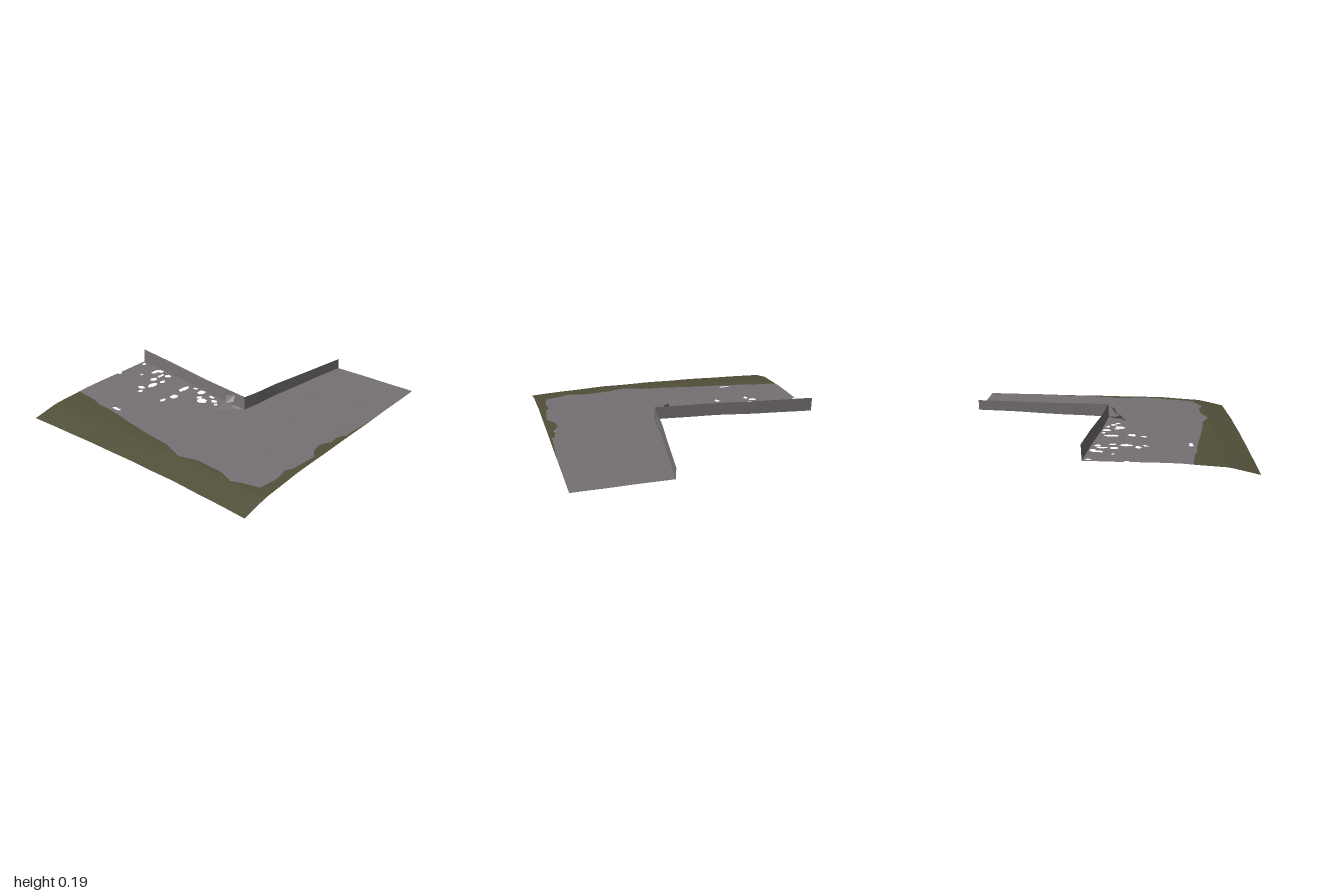
import * as THREE from 'three';

const { lerp, clamp } = THREE.MathUtils;

// Piecewise linear curve through [t, value] pairs
const curve = (pts) => (t) => {
  if (t <= pts[0][0]) return pts[0][1];
  for (let i = 1; i < pts.length; i++) {
    const [t0, a] = pts[i - 1], [t1, b] = pts[i];
    if (t <= t1) return lerp(a, b, (t - t0) / (t1 - t0));
  }
  return pts[pts.length - 1][1];
};

// Ground plan: grass border (x by z), front verge (z by x) and the two wall lines
const borderX = curve([[-1, -0.58], [-0.8, -0.6], [-0.7, -0.63], [-0.6, -0.635], [-0.1, -0.72], [0.1, -0.74],
  [0.27, -0.8], [0.4, -0.76], [0.6, -0.76], [0.72, -0.8], [0.8, -0.77], [0.91, -0.74]]);
const vergeZ = curve([[-0.74, 0.91], [-0.6, 0.935], [-0.5, 0.92], [-0.45, 0.95], [-0.25, 0.97], [-0.18, 0.92],
  [-0.1, 0.91], [-0.02, 0.95], [0.07, 0.95], [0.12, 0.98], [0.5, 1]]);
const sideWallX = curve([[-1, 0.12], [-0.6, 0.07], [-0.2, 0.01], [0.2, -0.03]]);
const frontWallZ = curve([[-0.03, 0.2], [0.1, 0.22], [0.3, 0.235], [0.6, 0.28], [1, 0.335]]);

// Ground height: a steep grass edge, then a gentle rise with small dents
const rise = curve([[-1, 0.041], [-0.8, 0.079], [-0.5, 0.09], [0, 0.101], [1, 0.121]]);
const edgeDip = curve([[-1, 0.034], [-0.5, 0.016], [0, 0.003], [0.4, 0], [1, 0.018]]);
const innerDip = curve([[-1, 0.013], [-0.3, 0.004], [0.3, 0], [1, 0]]);
const height = (x, z) => {
  const k = clamp((x + 1) / 0.5, 0, 1);
  const dents = 0.0015 * Math.sin(9 * x + 5 * z) * Math.cos(11 * z - 4 * x);
  return rise(x) - lerp(edgeDip(z), innerDip(z), k) + dents;
};

// Gaps in the paving: x, z, radius in x, radius in z
const gaps = [
  [-0.6, -0.55, 0.014, 0.04], [0.03, -0.78, 0.04, 0.02], [0.06, -0.75, 0.02, 0.03], [-0.08, -0.69, 0.03, 0.025],
  [0.0, -0.69, 0.04, 0.015], [0.03, -0.64, 0.02, 0.025], [-0.16, -0.62, 0.045, 0.025], [-0.24, -0.66, 0.02, 0.03],
  [-0.29, -0.62, 0.025, 0.014], [-0.07, -0.6, 0.025, 0.015], [-0.06, -0.38, 0.05, 0.022], [-0.2, -0.35, 0.03, 0.03],
  [-0.29, -0.38, 0.03, 0.013], [-0.02, -0.23, 0.03, 0.03], [-0.12, -0.14, 0.035, 0.04], [-0.09, -0.19, 0.02, 0.02],
  [-0.07, -0.06, 0.018, 0.025], [-0.03, -0.12, 0.014, 0.025], [-0.1, -0.02, 0.015, 0.015], [0.08, -0.96, 0.02, 0.013],
  [-0.16, -0.99, 0.02, 0.012], [0.0, -0.31, 0.012, 0.02], [-0.07, -0.83, 0.012, 0.012],
];
const inGap = (x, z) => gaps.some(([gx, gz, rx, rz]) => ((x - gx) / rx) ** 2 + ((z - gz) / rz) ** 2 < 1);

// Sheet over a unit square; at(u, v) gives [x, y, z], skip(x, z) leaves faces out
function sheet(cols, rows, at, skip = () => false) {
  const pos = [], index = [];
  for (let j = 0; j <= rows; j++) {
    for (let i = 0; i <= cols; i++) pos.push(...at(i / cols, j / rows));
  }
  const face = (...ids) => {
    const mid = (axis) => ids.reduce((s, id) => s + pos[id * 3 + axis], 0) / 3;
    if (!skip(mid(0), mid(2))) index.push(...ids);
  };
  for (let j = 0; j < rows; j++) {
    for (let i = 0; i < cols; i++) {
      const a = j * (cols + 1) + i, b = a + 1, c = a + cols + 1, d = c + 1;
      face(a, c, b);
      face(b, c, d);
    }
  }
  const g = new THREE.BufferGeometry();
  g.setAttribute('position', new THREE.Float32BufferAttribute(pos, 3));
  g.setIndex(index);
  g.computeVertexNormals();
  return g;
}
const onGround = (x, z) => [x, height(x, z), z];

export function createModel() {
  const paving = new THREE.MeshStandardMaterial({ color: 0x757074, side: THREE.DoubleSide });
  paving.name = 'grey paving';
  const grass = new THREE.MeshStandardMaterial({ color: 0x525039, side: THREE.DoubleSide });
  grass.name = 'olive grass';

  const model = new THREE.Group();
  model.name = 'streetCorner';
  const add = (name, geometry, material) => {
    const mesh = new THREE.Mesh(geometry, material);
    mesh.name = name;
    model.add(mesh);
  };

  // Paving: side arm, corner and front arm
  add('sidePaving', sheet(64, 100, (u, v) => {
    const z = lerp(-1, 0.2, v);
    return onGround(lerp(borderX(z), sideWallX(z), u), z);
  }, inGap), paving);
  add('cornerPaving', sheet(40, 40, (u, v) => {
    const x = lerp(borderX(lerp(0.2, 0.91, v)), -0.03, u);
    return onGround(x, lerp(0.2, vergeZ(x), v));
  }), paving);
  add('frontPaving', sheet(40, 30, (u, v) => {
    const x = lerp(-0.03, 1, u);
    return onGround(x, lerp(frontWallZ(x), vergeZ(x), v));
  }), paving);

  // Grass along the side and a narrow verge at the front
  add('sideGrass', sheet(12, 100, (u, v) => {
    const z = lerp(-1, 0.91, v);
    return onGround(lerp(-1, borderX(z), u), z);
  }), grass);
  add('frontGrass', sheet(75, 3, (u, v) => {
    const x = lerp(-1, 0.5, u);
    return onGround(x, lerp(vergeZ(x), 1, v));
  }), grass);

  // Low upright walls along the inner edges
  const wallTop = 0.197;
  add('sideWall', sheet(24, 1, (u, v) => {
    const z = lerp(-1, 0.2, u), x = sideWallX(z);
    return [x + 0.006 * (1 - v), lerp(wallTop, height(x, z), v), z];
  }), paving);
  add('frontWall', sheet(24, 1, (u, v) => {
    const x = lerp(-0.03, 1, u), z = frontWallZ(x);
    return [x, lerp(wallTop, height(x, z), v), z - 0.004 * (1 - v)];
  }), paving);

  // Broken shards leaning against the wall corner
  const shards = new THREE.BufferGeometry();
  shards.setAttribute('position', new THREE.Float32BufferAttribute([
    -0.17, 0.1, 0.04, -0.1, 0.105, 0.12, -0.11, 0.145, 0.08,
    -0.16, 0.1, 0.09, -0.06, 0.105, 0.15, -0.12, 0.135, 0.06,
    -0.1, 0.14, 0.08, -0.07, 0.155, 0.13, -0.045, 0.197, 0.12,
    -0.1, 0.14, 0.08, -0.045, 0.197, 0.12, -0.08, 0.19, 0.07,
    -0.1, 0.102, 0.11, -0.03, 0.103, 0.19, -0.06, 0.12, 0.12,
  ], 3));
  shards.computeVertexNormals();
  add('cornerShards', shards, paving);

  return model;
}
